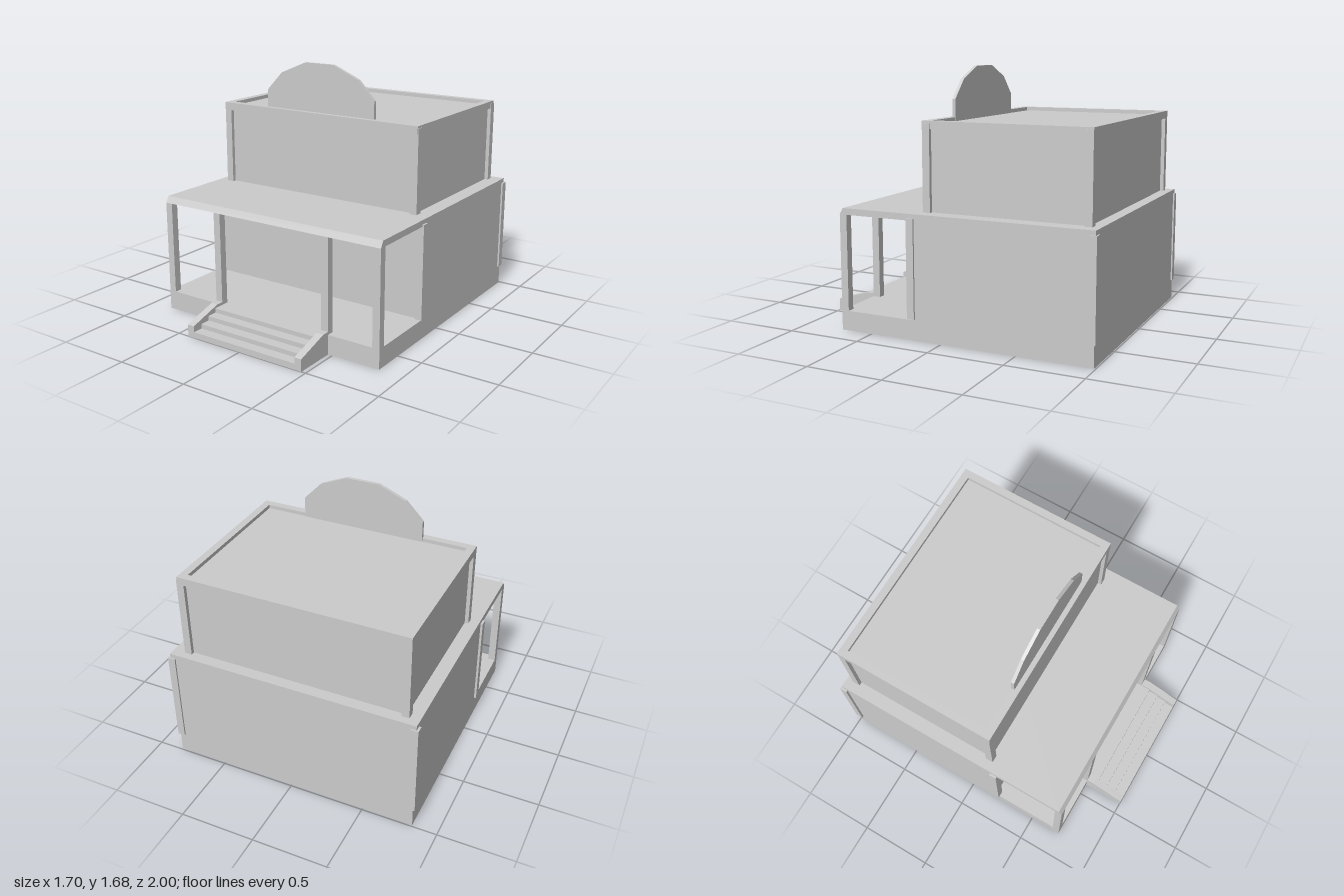
import * as THREE from 'three';

const material = new THREE.MeshStandardMaterial({ color: 0xcccccc, flatShading: true });

export function createModel() {
  const model = new THREE.Group();
  model.name = 'house';

  const add = (name, geometry) => {
    const mesh = new THREE.Mesh(geometry, material);
    mesh.name = name;
    model.add(mesh);
    return mesh;
  };

  // Box given by its extents on each axis
  const box = (name, [x0, x1], [y0, y1], [z0, z1]) => {
    const mesh = add(name, new THREE.BoxGeometry(x1 - x0, y1 - y0, z1 - z0));
    mesh.position.set((x0 + x1) / 2, (y0 + y1) / 2, (z0 + z1) / 2);
    return mesh;
  };

  // Outline of [z, y] points swept along x
  const sideProfile = (name, points, x0, x1) => {
    const shape = new THREE.Shape(points.map(([z, y]) => new THREE.Vector2(-z, y)));
    const geometry = new THREE.ExtrudeGeometry(shape, { depth: x1 - x0, bevelEnabled: false });
    geometry.rotateY(Math.PI / 2).translate(x0, 0, 0);
    return add(name, geometry);
  };

  // Plinth with porch floor, and ground floor rooms
  box('plinth', [-0.835, 0.835], [0, 0.13], [-0.99, 0.72]);
  box('groundFloor', [-0.835, 0.835], [0.13, 0.755], [-0.99, 0.2]);

  // Ground floor roof with chamfered front edge
  sideProfile('porchRoof', [[-0.99, 0.755], [0.72, 0.755], [0.697, 0.797], [-0.99, 0.797]], -0.835, 0.835);

  // Porch posts
  for (const x of [-0.835, -0.42, 0.42, 0.785]) {
    box('porchPost', [x, x + 0.05], [0.13, 0.755], [0.67, 0.72]);
  }

  // Corner pilasters of the ground floor
  for (const x of [-0.85, 0.797]) {
    for (const z of [-1, 0.18]) {
      box('cornerPilaster', [x, x + 0.05], [0.137, 0.768], [z, z + 0.05]);
    }
  }

  // Front steps, each lower one reaching further out
  for (let i = 0; i < 4; i++) {
    box('step', [-0.37, 0.42], [0, 0.04 + 0.03 * i], [0.7, 1 - 0.07 * i]);
  }

  // Sloping cheeks beside the steps
  for (const x of [-0.42, 0.42]) {
    sideProfile('stepCheek', [[0.67, 0], [1, 0], [1, 0.08], [0.77, 0.15], [0.67, 0.15]], x, x + 0.05);
  }

  // Upper floor: recessed walls topped by the sunken roof
  box('upperFloor', [-0.745, 0.73], [0.79, 1.335], [-0.915, 0.135]);

  // Upper corner posts
  for (const x of [-0.77, 0.705]) {
    for (const z of [-0.94, 0.11]) {
      box('upperPost', [x, x + 0.05], [0.797, 1.345], [z, z + 0.05]);
    }
  }

  // Raised rim around the upper roof
  const rectangle = (Type, x0, x1, z0, z1) => new Type([
    new THREE.Vector2(x0, -z1), new THREE.Vector2(x1, -z1),
    new THREE.Vector2(x1, -z0), new THREE.Vector2(x0, -z0),
  ]);
  const rim = rectangle(THREE.Shape, -0.77, 0.75, -0.94, 0.163);
  rim.holes.push(rectangle(THREE.Path, -0.72, 0.7, -0.89, 0.113));
  const rimGeometry = new THREE.ExtrudeGeometry(rim, { depth: 0.05, bevelEnabled: false });
  rimGeometry.rotateX(-Math.PI / 2).translate(0, 1.31, 0);
  add('roofRim', rimGeometry);

  // Faceted arched panel standing on the roof
  const half = [[0.42, 1.33], [0.42, 1.475], [0.3, 1.6], [0.11, 1.68]];
  const outline = [...half, ...half.map(([x, y]) => [-x, y]).reverse()];
  const arch = new THREE.Shape(outline.map(([x, y]) => new THREE.Vector2(x, y)));
  const archGeometry = new THREE.ExtrudeGeometry(arch, { depth: 0.022, bevelEnabled: false });
  archGeometry.translate(0, 0, 0.108);
  add('archedPanel', archGeometry);

  return model;
}
